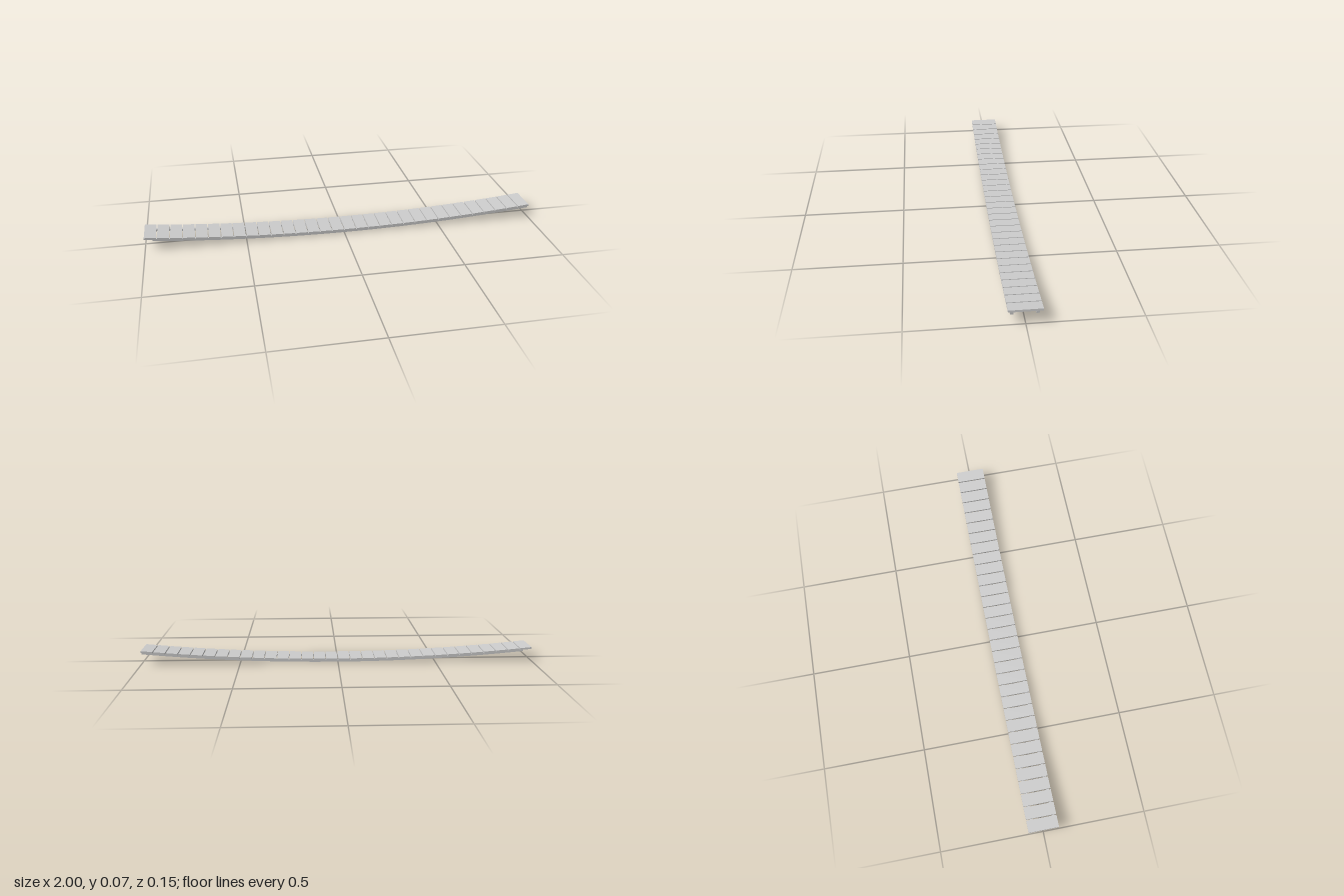
import * as THREE from 'three';

const SAG = 0.05;
const sagAt = (x) => SAG * x * x;

export function createModel() {
  const bridge = new THREE.Group();
  bridge.name = 'plankBridge';
  const material = new THREE.MeshStandardMaterial({ color: 0xcccccc, flatShading: true });

  // Two support beams, bent along the sagging curve
  const beamStart = -0.96, beamEnd = 0.998, beamHeight = 0.0115;
  for (const [name, z] of [['frontBeam', 0.058], ['backBeam', -0.05]]) {
    const geometry = new THREE.BoxGeometry(beamEnd - beamStart, beamHeight, 0.014, 32, 1, 1);
    geometry.translate((beamStart + beamEnd) / 2, beamHeight / 2, z);
    const pos = geometry.attributes.position;
    for (let i = 0; i < pos.count; i++) pos.setY(i, pos.getY(i) + sagAt(pos.getX(i)));
    geometry.computeVertexNormals();
    const beam = new THREE.Mesh(geometry, material);
    beam.name = name;
    bridge.add(beam);
  }

  // Row of planks, each tilted to follow the curve
  const count = 32, plankLength = 0.0575, plankThickness = 0.0095;
  const plankGeometry = new THREE.BoxGeometry(plankLength, plankThickness, 0.147);
  const reach = 1 - plankLength / 2;
  for (let i = 0; i < count; i++) {
    const x = THREE.MathUtils.lerp(-reach, reach, i / (count - 1));
    const plank = new THREE.Mesh(plankGeometry, material);
    plank.name = `plank${i + 1}`;
    plank.position.set(x, sagAt(x) + beamHeight + plankThickness / 2, 0);
    plank.rotation.z = Math.atan(2 * SAG * x);
    bridge.add(plank);
  }
  return bridge;
}
